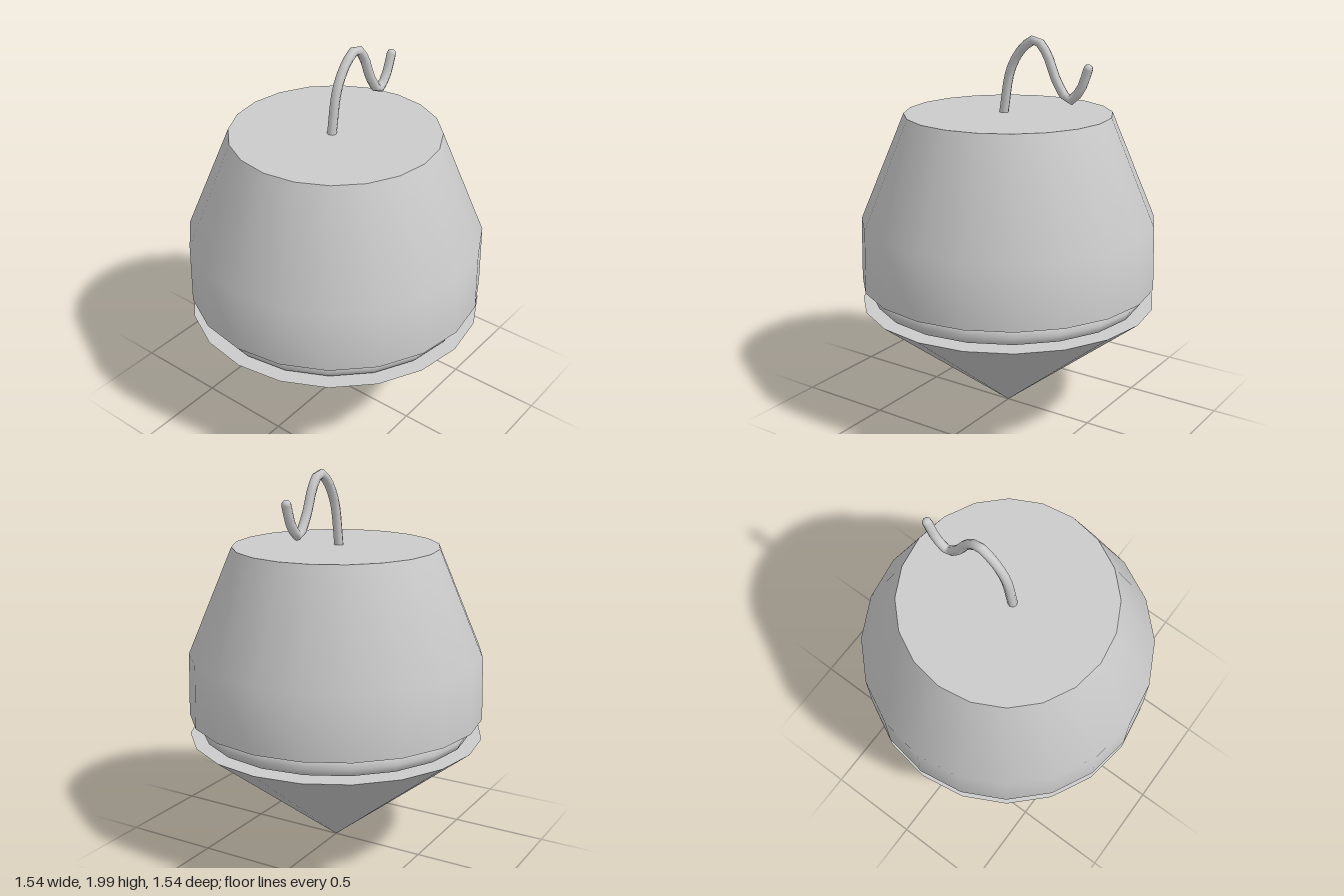
import * as THREE from 'three';

const SIDES = 20;
const material = new THREE.MeshStandardMaterial({ color: 0xcccccc });

function add(group, name, geometry, y = 0) {
  const mesh = new THREE.Mesh(geometry, material);
  mesh.name = name;
  mesh.position.y = y;
  group.add(mesh);
  return mesh;
}

// Flat disc facing up or down, aligned with the lathe's corners
function disc(radius, up) {
  return new THREE.CircleGeometry(radius, SIDES).rotateX(up ? -Math.PI / 2 : Math.PI / 2);
}

export function createModel() {
  const model = new THREE.Group();
  model.name = 'model';

  // Downward pointing base with a flat top
  const cone = new THREE.ConeGeometry(0.77, 0.615, SIDES).rotateX(Math.PI);
  add(model, 'baseCone', cone, 0.3075);

  // Ring squeezed between the base and the body
  const ring = new THREE.TorusGeometry(0.665, 0.054, 8, SIDES).rotateX(Math.PI / 2);
  add(model, 'ring', ring, 0.669);

  // Body: nearly straight skirt, then tapering shoulders
  const profile = [[0.77, 0.722], [0.762, 1.05], [0.53, 1.6]].map(([r, y]) => new THREE.Vector2(r, y));
  add(model, 'bodyWall', new THREE.LatheGeometry(profile, SIDES));
  add(model, 'bodyTop', disc(0.53, true), 1.6);
  add(model, 'bodyUnderside', disc(0.77, false), 0.722);

  // Wavy cord curling backwards from the top
  const path = [
    [1.56, 0.032], [1.63, 0.022], [1.82, -0.015], [1.93, -0.085], [1.974, -0.16], [1.92, -0.22],
    [1.78, -0.285], [1.697, -0.355], [1.75, -0.415], [1.855, -0.457],
  ].map(([y, z]) => new THREE.Vector3(0, y, z));
  const curve = new THREE.CatmullRomCurve3(path, false, 'centripetal');
  add(model, 'cord', new THREE.TubeGeometry(curve, 22, 0.024, 8));
  const tip = add(model, 'cordTip', new THREE.SphereGeometry(0.024, 8, 6));
  tip.position.copy(path[path.length - 1]);

  return model;
}
